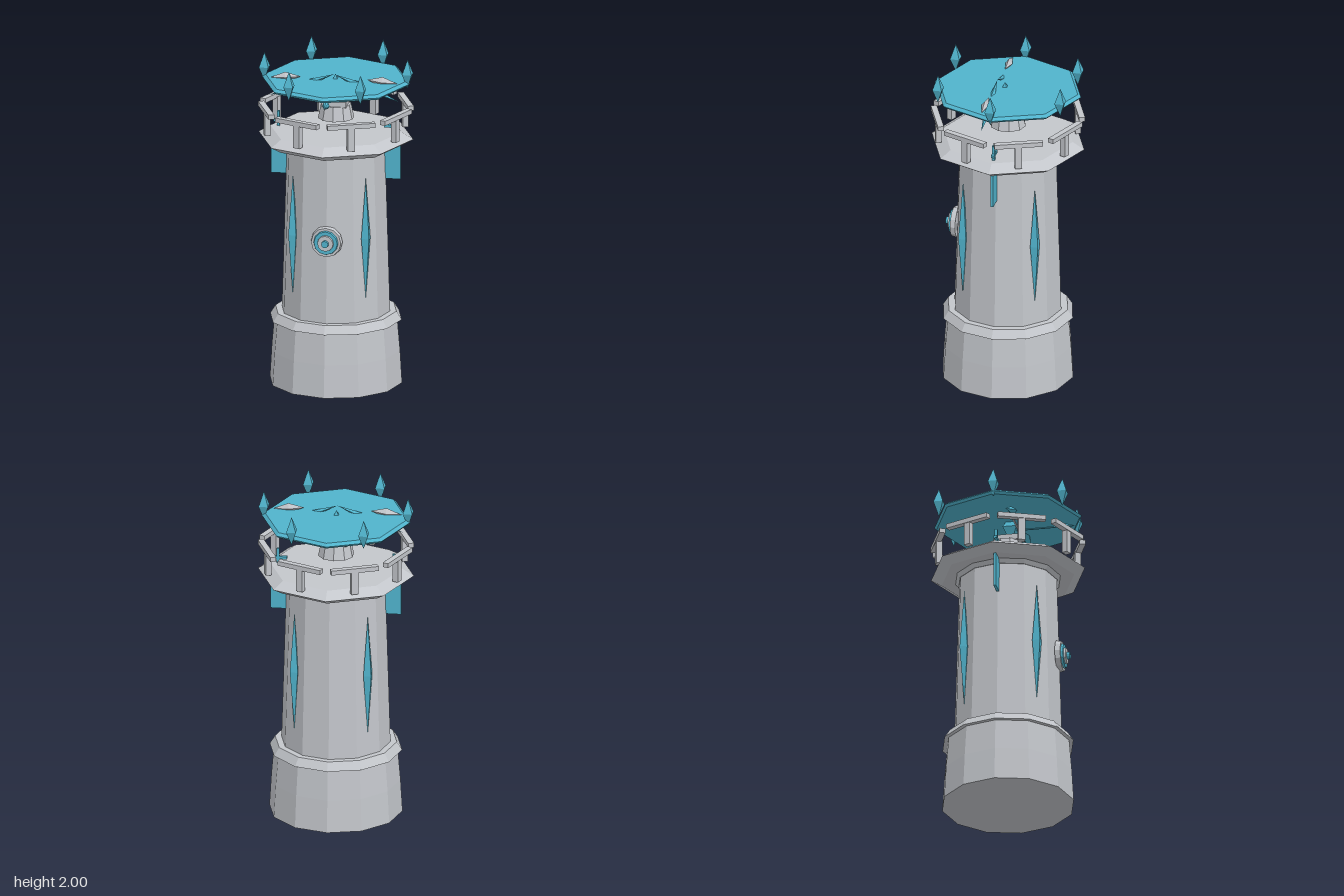
import * as THREE from 'three';

export function createModel() {
  const root = new THREE.Group();
  root.name = 'watchtower';

  const stone = new THREE.MeshStandardMaterial({ color: 0xc3c6cb, flatShading: true });
  stone.name = 'pale stone';
  const teal = new THREE.MeshStandardMaterial({ color: 0x50b3cc, flatShading: true });
  teal.name = 'teal crystal';

  function add(name, geometry, material, x = 0, y = 0, z = 0, parent = root) {
    const mesh = new THREE.Mesh(geometry, material);
    mesh.name = name;
    mesh.position.set(x, y, z);
    parent.add(mesh);
    return mesh;
  }

  // Faceted ring between two heights, with a corner facing the front
  function drum(name, sides, y0, r0, y1, r1, material, z = 0) {
    const g = new THREE.CylinderGeometry(r1, r0, y1 - y0, sides);
    return add(name, g, material, 0, (y0 + y1) / 2, z);
  }

  // Stretched octahedron with half sizes a, b, c
  function crystal(name, a, b, c, material, x, y, z) {
    return add(name, new THREE.OctahedronGeometry(1).scale(a, b, c), material, x, y, z);
  }

  // Twelve-sided tower
  drum('baseLower', 12, 0, 0.397, 0.2, 0.385, stone);
  drum('baseUpper', 12, 0.2, 0.385, 0.4, 0.368, stone);
  drum('baseLip', 12, 0.39, 0.395, 0.44, 0.363, stone);
  drum('shaft', 12, 0.44, 0.325, 1.45, 0.295, stone);
  drum('collar', 12, 1.445, 0.298, 1.475, 0.32, stone);

  // Octagonal gallery
  drum('galleryUnderside', 8, 1.47, 0.4, 1.508, 0.465, stone);
  drum('galleryFloor', 8, 1.508, 0.465, 1.55, 0.395, stone);

  // Railing: one post and one rail per side
  for (let i = 0; i < 8; i++) {
    const side = new THREE.Group();
    side.name = 'railing';
    side.rotation.y = (i + 0.5) * Math.PI / 4;
    add('railingPost', new THREE.BoxGeometry(0.042, 0.145, 0.035), stone, 0, 1.61, 0.417, side);
    add('railingRail', new THREE.BoxGeometry(0.29, 0.028, 0.036), stone, 0, 1.69, 0.422, side);
    root.add(side);
  }

  // Slender crystals set in the diagonal faces of the shaft
  for (const sx of [-1, 1]) {
    for (const sz of [-1, 1]) {
      crystal('shaftCrystal', 0.033, 0.37, 0.033, teal, sx * 0.219, 0.95, sz * 0.219)
        .rotation.y = Math.PI / 4;
    }
  }

  // Stepped medallion on the front: radius, back, front
  const rings = [
    [0.095, 0.3, 0.332, stone], [0.075, 0.33, 0.345, teal],
    [0.05, 0.34, 0.357, stone], [0.022, 0.35, 0.375, teal],
  ];
  for (const [r, z0, z1, material] of rings) {
    const g = new THREE.CylinderGeometry(r * 0.94, r, z1 - z0, 12).rotateX(Math.PI / 2);
    add('medallionRing', g, material, 0, 0.943, (z0 + z1) / 2);
  }

  // Side banners and the cross handles above them
  for (const s of [-1, 1]) {
    add('sideBanner', new THREE.BoxGeometry(0.1, 0.22, 0.016), teal, s * 0.34, 1.37, 0);
    add('crossUpright', new THREE.BoxGeometry(0.016, 0.1, 0.016), teal, s * 0.345, 1.592, 0);
    add('crossBar', new THREE.BoxGeometry(0.084, 0.016, 0.02), teal, s * 0.333, 1.583, 0);
  }

  // Lantern pedestal and its crystal
  drum('pedestal', 10, 1.62, 0.108, 1.705, 0.09, stone);
  add('pedestalCap', new THREE.BoxGeometry(0.145, 0.035, 0.145), stone, 0, 1.718, 0);
  crystal('lanternCrystal', 0.06, 0.093, 0.06, teal, 0, 1.802, 0.018).rotation.y = Math.PI / 4;

  // Pointer aimed forward, with a thin crossbar
  add('pointerShaft', new THREE.CylinderGeometry(0.006, 0.006, 0.32, 6).rotateX(Math.PI / 2),
    teal, 0, 1.79, 0.18);
  add('pointerHead', new THREE.ConeGeometry(0.022, 0.07, 8).rotateX(Math.PI / 2),
    teal, 0, 1.79, 0.368);
  add('pointerCrossbar', new THREE.BoxGeometry(0.32, 0.01, 0.01), stone, 0, 1.79, 0.065);

  // Blades piercing the roof
  for (const s of [-1, 1]) {
    crystal('longBlade', 0.209, 0.025, 0.028, teal, s * 0.195, 1.83, 0.065)
      .rotation.z = -s * 0.367;
    crystal('shortBlade', 0.092, 0.03, 0.022, stone, s * 0.29, 1.874, 0.067)
      .rotation.z = -s * 0.08;
  }

  // Octagonal roof slab with bevelled edges
  drum('roofLower', 8, 1.836, 0.432, 1.85, 0.445, teal);
  drum('roofUpper', 8, 1.85, 0.445, 1.866, 0.425, teal);

  // Six roof finials
  for (let i = 0; i < 6; i++) {
    const a = i * Math.PI / 3;
    crystal('roofFinial', 0.04, 0.09, 0.04, teal, 0.43 * Math.cos(a), 1.91, 0.43 * Math.sin(a))
      .rotation.y = Math.PI / 4;
  }

  return root;
}
